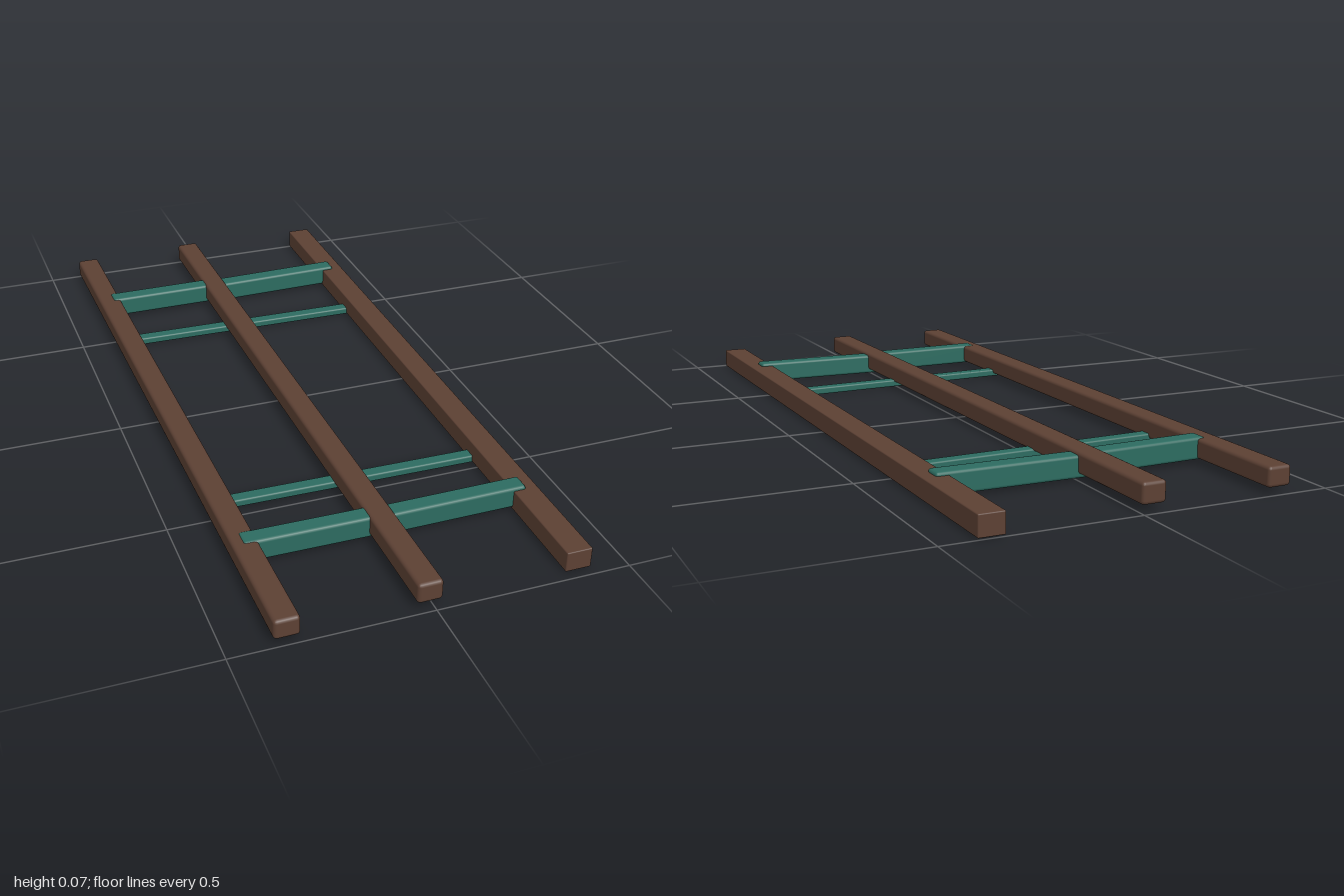
import * as THREE from 'three';
import { RoundedBoxGeometry } from 'three/addons/geometries/RoundedBoxGeometry.js';

const brown = new THREE.MeshStandardMaterial({ color: 0x5c4033 });
brown.name = 'brown wood';
const teal = new THREE.MeshStandardMaterial({ color: 0x2c6b60 });
teal.name = 'teal paint';

// Softly rounded timber running between two centre points
function beam(name, material, from, to, width, height, radius) {
  const a = new THREE.Vector3(...from);
  const b = new THREE.Vector3(...to);
  const geometry = new RoundedBoxGeometry(width, height, a.distanceTo(b), 2, radius);
  const mesh = new THREE.Mesh(geometry, material);
  mesh.name = name;
  mesh.position.addVectors(a, b).multiplyScalar(0.5);
  mesh.lookAt(b);
  return mesh;
}

export function createModel() {
  const model = new THREE.Group();
  model.name = 'slattedFrame';

  // Three long rails, slightly out of true
  model.add(
    beam('rightRail', brown, [-0.379, 0.04, -0.985], [-0.357, 0.042, 0.995], 0.064, 0.052, 0.009),
    beam('middleRail', brown, [-0.034, 0.045, -0.988], [-0.011, 0.045, 0.988], 0.064, 0.054, 0.009),
    beam('leftRail', brown, [0.375, 0.031, -1], [0.375, 0.031, 0.977], 0.067, 0.054, 0.003),
  );

  // Deep crossbars near the ends, each in two halves meeting at the middle rail
  for (const [name, zRight, zMiddle, zLeft] of [
    ['backCrossbar', -0.674, -0.68, -0.685],
    ['frontCrossbar', 0.681, 0.681, 0.681],
  ]) {
    model.add(
      beam(name + 'Right', teal, [-0.366, 0.041, zRight], [-0.01, 0.039, zMiddle], 0.051, 0.058, 0.008),
      beam(name + 'Left', teal, [-0.03, 0.035, zMiddle], [0.376, 0.038, zLeft], 0.051, 0.058, 0.008),
    );
  }

  // Thin slats set low, just inside the crossbars
  for (const [name, z] of [['backSlat', -0.461], ['frontSlat', 0.457]]) {
    model.add(beam(name, teal, [-0.375, 0.018, z], [0.375, 0.011, z], 0.036, 0.021, 0.005));
  }
  return model;
}
